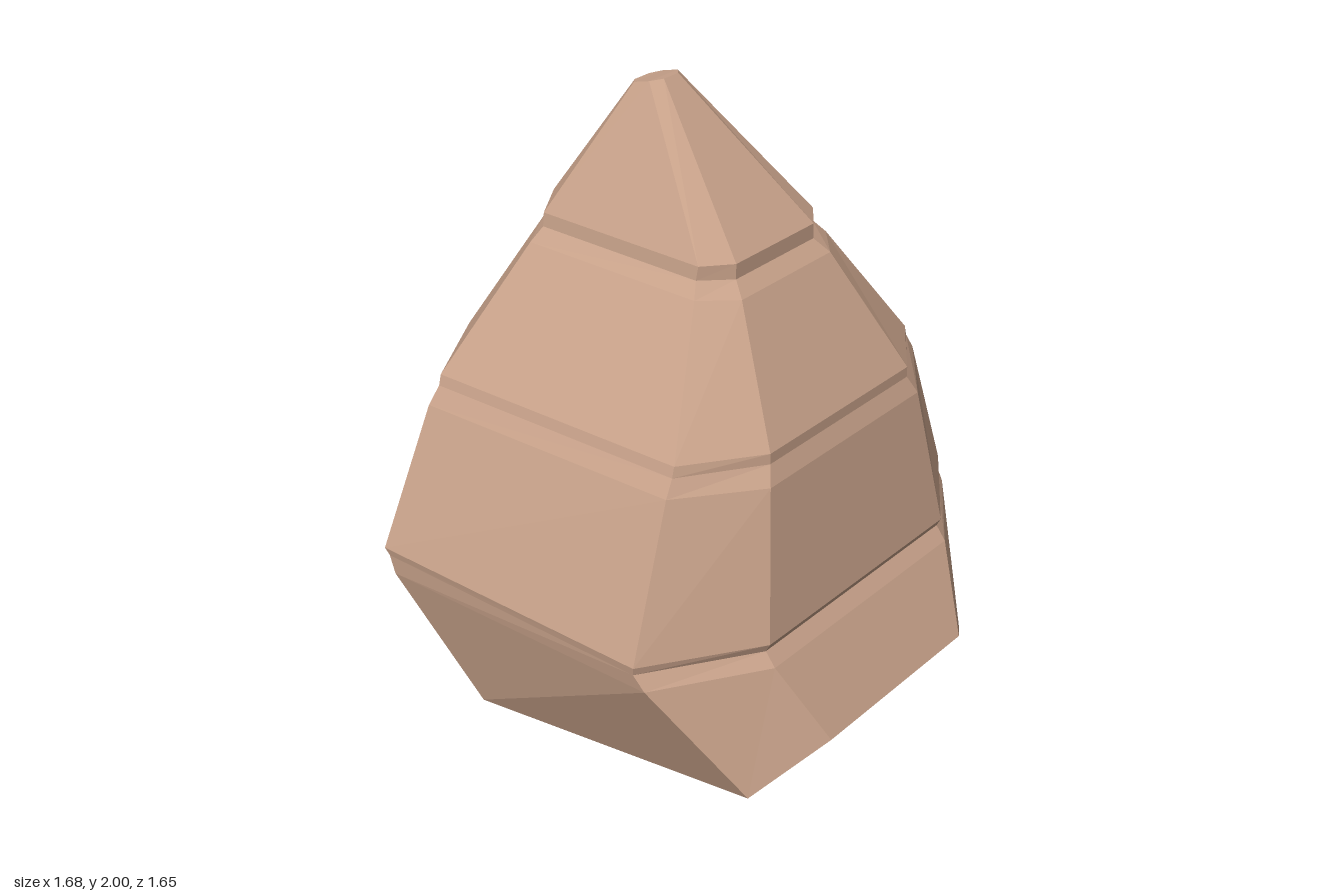
import * as THREE from 'three';

// Each ring is a chamfered rectangle, given by its left half:
// front corner, front side corner, back side corner, back corner.
const RINGS = [
  [[0.37, 0.145, 0.83], [0.61, 0, 0.69], [0.72, 0, -0.31], [0.20, 0.17, -0.64]],
  [[0.48, 0.41, 0.69], [0.825, 0.41, 0.46], [0.83, 0.44, -0.57], [0.48, 0.46, -0.805]],
  [[0.48, 0.457, 0.655], [0.835, 0.463, 0.425], [0.835, 0.505, -0.585], [0.48, 0.51, -0.81]],
  [[0.48, 0.485, 0.67], [0.84, 0.49, 0.43], [0.84, 0.53, -0.60], [0.49, 0.54, -0.825]],
  [[0.40, 0.97, 0.605], [0.66, 0.98, 0.415], [0.66, 0.99, -0.545], [0.34, 1.0, -0.725]],
  [[0.37, 1.03, 0.58], [0.625, 1.035, 0.41], [0.625, 1.05, -0.53], [0.30, 1.06, -0.69]],
  [[0.37, 1.065, 0.58], [0.615, 1.07, 0.41], [0.615, 1.085, -0.53], [0.30, 1.10, -0.70]],
  [[0.23, 1.455, 0.365], [0.34, 1.465, 0.27], [0.34, 1.485, -0.38], [0.17, 1.50, -0.47]],
  [[0.20, 1.50, 0.32], [0.30, 1.51, 0.245], [0.30, 1.53, -0.36], [0.155, 1.54, -0.435]],
  [[0.20, 1.55, 0.32], [0.295, 1.555, 0.25], [0.295, 1.575, -0.36], [0.155, 1.59, -0.44]],
  [[0.035, 2.0, -0.085], [0.07, 1.995, -0.115], [0.07, 1.98, -0.175], [0.035, 1.975, -0.20]],
];

// Mirror the half ring into a closed loop of eight corners.
function fullRing(half) {
  const mirrored = half.map(([x, y, z]) => [-x, y, z]).reverse();
  return [...half, ...mirrored];
}

// Skin consecutive rings, with optional caps at either end.
function loft(rings, capBottom, capTop) {
  const pos = [];
  const quad = (a, b, c, d) => pos.push(...a, ...b, ...c, ...a, ...c, ...d);
  for (let i = 0; i < rings.length - 1; i++) {
    for (let j = 0; j < 8; j++) {
      const k = (j + 1) % 8;
      quad(rings[i][j], rings[i][k], rings[i + 1][k], rings[i + 1][j]);
    }
  }
  const lo = rings[0], hi = rings[rings.length - 1];
  for (let j = 0; j < 3; j++) {
    if (capBottom) quad(lo[j + 1], lo[j], lo[7 - j], lo[6 - j]);
    if (capTop) quad(hi[j], hi[j + 1], hi[6 - j], hi[7 - j]);
  }
  const geometry = new THREE.BufferGeometry();
  geometry.setAttribute('position', new THREE.Float32BufferAttribute(pos, 3));
  geometry.computeVertexNormals();
  return geometry;
}

export function createModel() {
  const group = new THREE.Group();
  group.name = 'tieredCone';
  const material = new THREE.MeshStandardMaterial({ color: 0xc8a28a, flatShading: true });
  const rings = RINGS.map(fullRing);

  // Name, first ring and last ring of every tier.
  const tiers = [
    ['base', 0, 2],
    ['lowerTier', 2, 5],
    ['middleTier', 5, 8],
    ['topTier', 8, 10],
  ];
  for (const [name, from, to] of tiers) {
    const mesh = new THREE.Mesh(
      loft(rings.slice(from, to + 1), from === 0, to === rings.length - 1), material);
    mesh.name = name;
    group.add(mesh);
  }
  return group;
}
